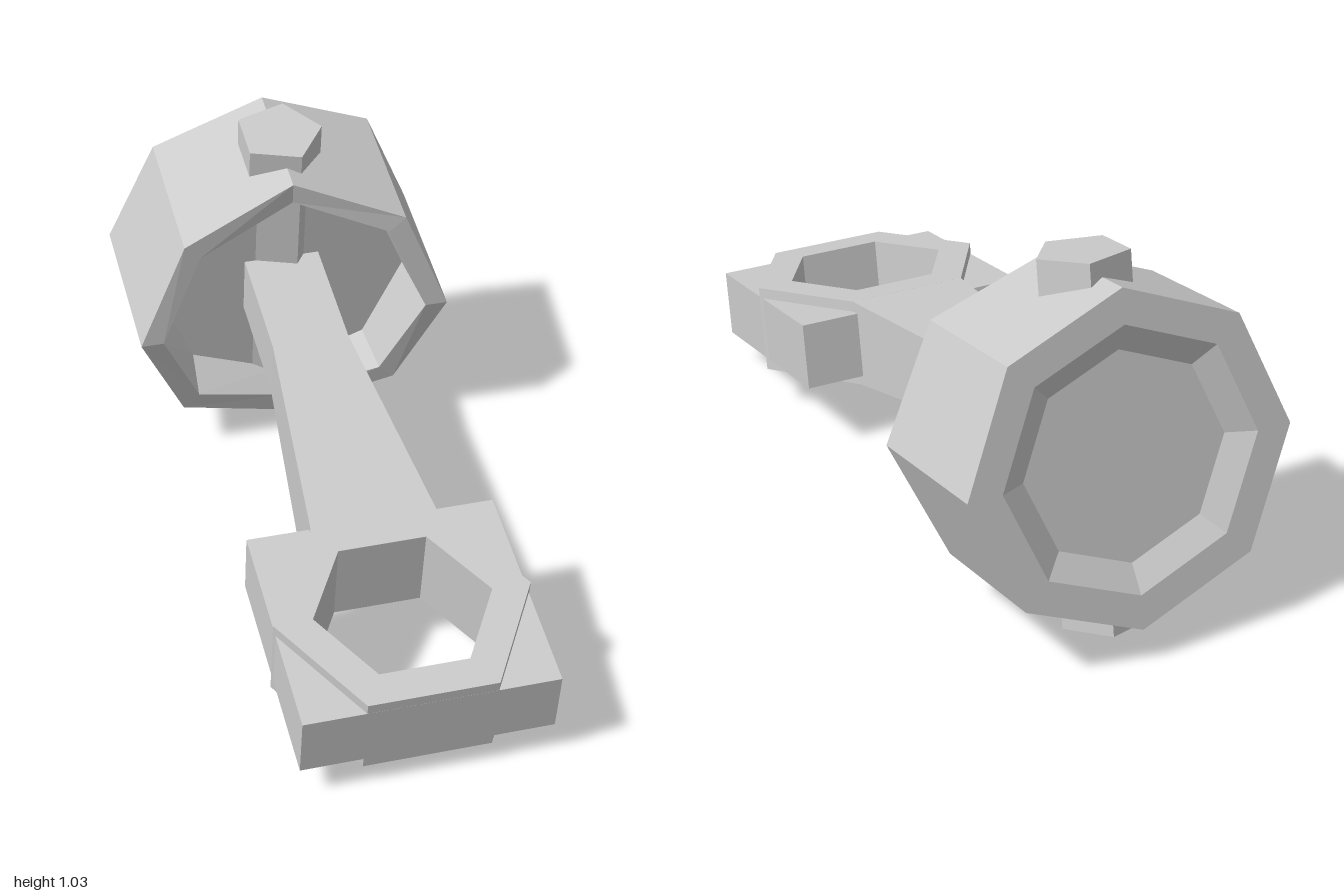
import * as THREE from 'three';

const material = new THREE.MeshStandardMaterial({ color: 0xcccccc, flatShading: true });

function part(name, geometry) {
  const mesh = new THREE.Mesh(geometry, material);
  mesh.name = name;
  return mesh;
}

// Skin a list of equal-length rings of [x, y, z], counterclockwise seen from +z
function loft(rings) {
  const n = rings[0].length;
  const pos = [];
  for (let r = 0; r < rings.length - 1; r++) {
    for (let i = 0; i < n; i++) {
      const j = (i + 1) % n;
      const a = rings[r][i], b = rings[r][j], c = rings[r + 1][j], d = rings[r + 1][i];
      pos.push(...a, ...b, ...c, ...a, ...c, ...d);
    }
  }
  const g = new THREE.BufferGeometry();
  g.setAttribute('position', new THREE.Float32BufferAttribute(pos, 3));
  g.computeVertexNormals();
  return g;
}

function hexPoints(radius) {
  return Array.from({ length: 6 }, (_, i) =>
    new THREE.Vector2(radius * Math.cos(i * Math.PI / 3), radius * Math.sin(i * Math.PI / 3)));
}

// Plate lying in x-z with a hexagonal hole, between heights bottom and top
function plate(outline, holeRadius, bottom, top) {
  const shape = new THREE.Shape(outline);
  shape.holes.push(new THREE.Path(hexPoints(holeRadius)));
  const g = new THREE.ExtrudeGeometry(shape, { depth: top - bottom, bevelEnabled: false });
  g.rotateX(Math.PI / 2);
  g.translate(0, top, 0);
  return g;
}

// Eight-sided piston: dished crown at the back, hollow scalloped skirt at the front
function pistonGeometry() {
  const skirt = [0.482, 0.441, 0.388, 0.441]; // skirt length repeats every half turn
  const ring = (radius, z) => Array.from({ length: 8 }, (_, i) => {
    const a = i * Math.PI / 4;
    return [radius * Math.cos(a), radius * Math.sin(a), z ?? skirt[i % 4]];
  });
  return loft([
    ring(0, 0.04), ring(0.285, 0.04), ring(0.36, 0), ring(0.455, 0), // crown
    ring(0.455), ring(0.39),                                         // skirt rim
    ring(0.37, 0.29), ring(0, 0.29),                                 // cavity
  ]);
}

// Rectangular shank that widens towards the big end
function shankGeometry() {
  const rect = (w, bottom, top, z) => [[w, bottom, z], [w, top, z], [-w, top, z], [-w, bottom, z]];
  const point = (z) => rect(0, 0, 0, z);
  return loft([
    point(0.2),
    rect(0.11, -0.091, 0.091, 0.2),
    rect(0.11, -0.091, 0.091, 0.644),
    rect(0.173, -0.149, 0.104, 1.342),
    point(1.342),
  ]);
}

export function createModel() {
  const model = new THREE.Group();
  model.name = 'pistonAndRod';

  // Everything lies along one axis, tipped forward by ten degrees
  const tilted = new THREE.Group();
  tilted.name = 'tiltedAssembly';
  tilted.rotation.x = THREE.MathUtils.degToRad(10);
  tilted.position.set(0, 0.553, -0.918);
  model.add(tilted);

  tilted.add(part('piston', pistonGeometry()));

  // Five-sided pin through the piston, one edge towards +x
  const pin = part('wristPin', new THREE.CylinderGeometry(0.125, 0.125, 1, 5, 1, false, Math.PI / 2));
  pin.position.z = 0.209;
  tilted.add(pin);

  tilted.add(part('rodShank', shankGeometry()));

  // Hexagonal ring of the big end
  const bigEnd = part('bigEndRing', plate(hexPoints(0.345), 0.24, -0.149, 0.104));
  bigEnd.position.z = 1.636;
  tilted.add(bigEnd);

  // Square block around the ring, its hole hidden inside the ring wall
  const block = [[-0.34, -0.322], [0.34, -0.322], [0.34, 0.299], [-0.34, 0.299]]
    .map(([x, z]) => new THREE.Vector2(x, z));
  const cap = part('bigEndBlock', plate(block, 0.28, -0.117, 0.073));
  cap.position.z = 1.636;
  tilted.add(cap);

  return model;
}
